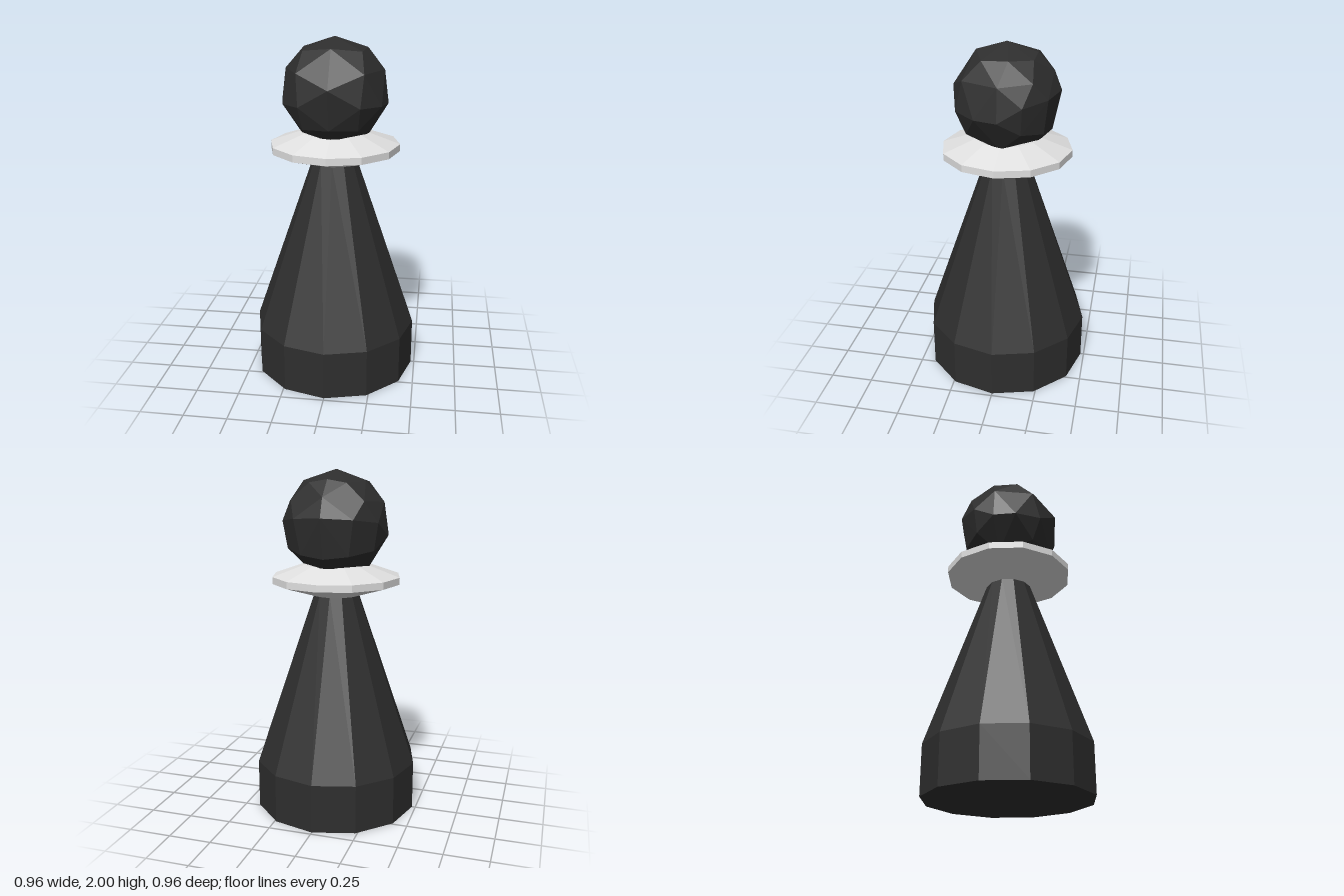
import * as THREE from 'three';
import { ConvexGeometry } from 'three/addons/geometries/ConvexGeometry.js';

const SIDES = 12;

// Faceted turned part from [radius, height] pairs, bottom to top
function turned(name, profile, material) {
  const points = profile.map(([r, y]) => new THREE.Vector2(r, y));
  const geometry = new THREE.LatheGeometry(points, SIDES).toNonIndexed();
  geometry.computeVertexNormals();
  const mesh = new THREE.Mesh(geometry, material);
  mesh.name = name;
  return mesh;
}

// Faceted ball: directions for one half, mirrored across x
function facetedBall(radius) {
  const half = [
    // crown
    [0, 1, 0], [0, 0.83, 0.55], [0.53, 0.77, 0.35], [0.59, 0.8, -0.13],
    [0.35, 0.77, -0.53], [0, 0.83, -0.555],
    // upper band
    [0.9, 0.42, 0], [0.6, 0.42, 0.68], [0, 0.18, 0.985], [0, 0.53, -0.84],
    [0.68, 0.46, -0.57], [0, 0.18, -0.985],
    // middle band
    [0.985, -0.18, 0], [0.89, -0.17, 0.42], [0.55, -0.15, 0.82],
    [0.89, 0.08, -0.42], [0.55, 0.15, -0.82],
    // lower band
    [0, -0.55, 0.83], [0.5, -0.58, 0.65], [0.82, -0.42, -0.39],
    [0, -0.55, -0.83], [0.45, -0.5, -0.74],
    // underside
    [0.6, -0.78, 0], [0, -0.83, 0.55], [0, -0.83, -0.55], [0, -1, 0],
  ];
  const points = [];
  for (const [x, y, z] of half) {
    for (const side of x ? [1, -1] : [1]) {
      points.push(new THREE.Vector3(x * side, y, z).setLength(radius));
    }
  }
  return new ConvexGeometry(points);
}

export function createModel() {
  const black = new THREE.MeshStandardMaterial({ color: 0x2e2e2e });
  black.name = 'black';
  const white = new THREE.MeshStandardMaterial({ color: 0xe0e0e0 });
  white.name = 'white';

  const pawn = new THREE.Group();
  pawn.name = 'pawn';

  // Straight base running into a tapered body
  pawn.add(turned('body', [[0, 0], [0.48, 0], [0.48, 0.285], [0.13, 1.3], [0, 1.3]], black));

  // Pale disc collar
  pawn.add(turned('collar', [[0, 1.285], [0.13, 1.285], [0.375, 1.36], [0.375, 1.4], [0.19, 1.465], [0, 1.465]], white));

  // Round head
  const head = new THREE.Mesh(facetedBall(0.309), black);
  head.name = 'head';
  head.position.y = 1.691;
  pawn.add(head);

  return pawn;
}
